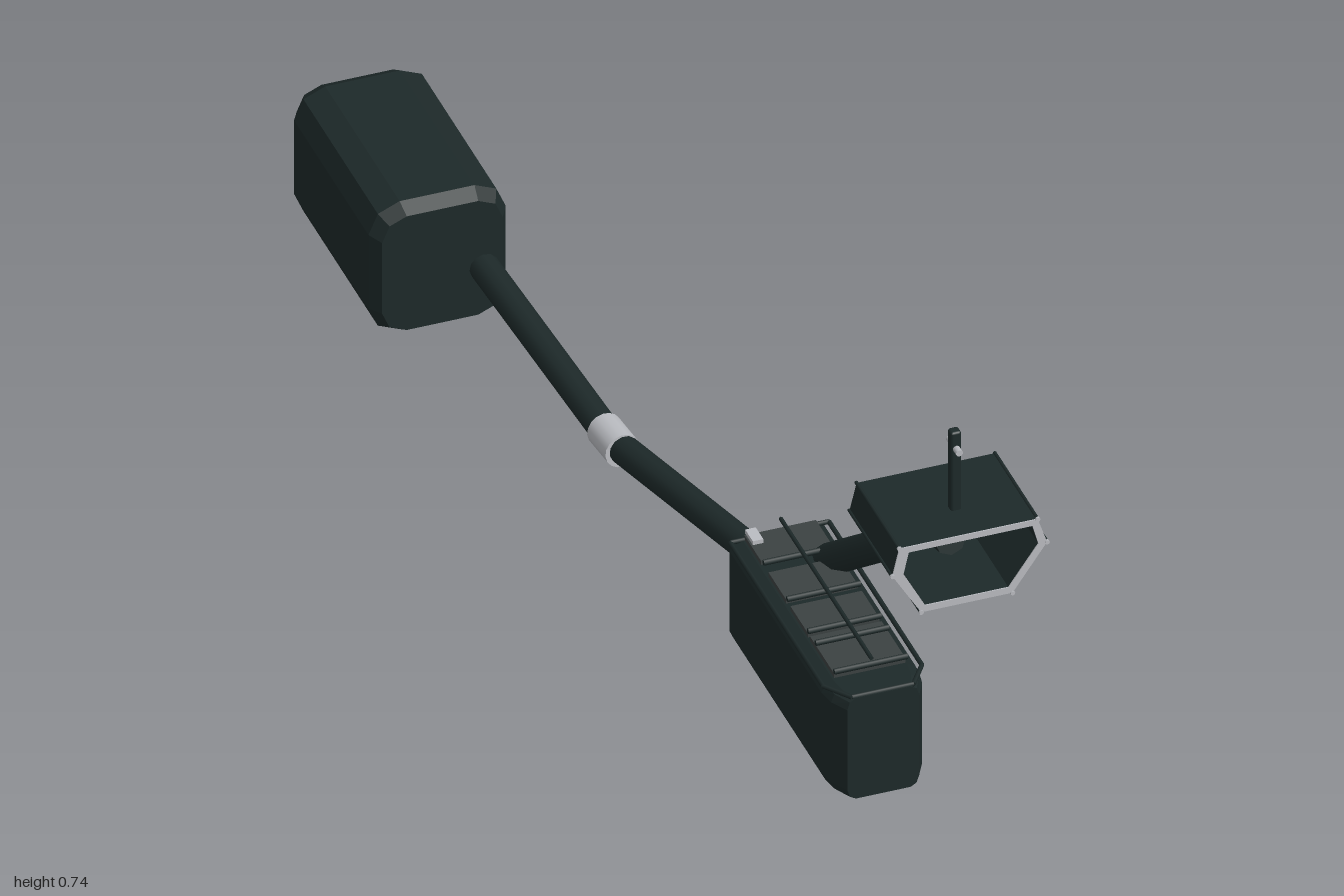
import * as THREE from 'three';
import { RoundedBoxGeometry } from 'three/addons/geometries/RoundedBoxGeometry.js';

const mat = (name, color) => {
  const m = new THREE.MeshStandardMaterial({ color });
  m.name = name;
  return m;
};

// Rectangle, centred on the origin, with each corner cut in two steps
const cutRect = (w, h, c) => {
  const [x, y, k] = [w / 2, h / 2, c * 0.3];
  const corner = [[x, y - c], [x - k, y - k], [x - c, y]];
  const flip = (sx, sy) => corner.map(([a, b]) => new THREE.Vector2(a * sx, b * sy));
  return new THREE.Shape([
    ...flip(1, 1), ...flip(-1, 1).reverse(), ...flip(-1, -1), ...flip(1, -1).reverse(),
  ]);
};

export function createModel() {
  const model = new THREE.Group();
  const shell = mat('dark green grey', 0x1d2929);
  const panel = mat('panel grey', 0x3c4242);
  const under = mat('underside charcoal', 0x2b2a2a);
  const metal = mat('light metal', 0xbabcc1);
  const V = (x, y, z) => new THREE.Vector3(x, y, z);

  const add = (name, geo, material, x = 0, y = 0, z = 0) => {
    const m = new THREE.Mesh(geo, material);
    m.name = name;
    m.position.set(x, y, z);
    model.add(m);
    return m;
  };
  const box = (name, w, h, d, material, x, y, z) =>
    add(name, new THREE.BoxGeometry(w, h, d), material, x, y, z);
  // Straight round bar between two points
  const bar = (name, a, b, r, material, sides = 8) => {
    const dir = b.clone().sub(a);
    const m = add(name, new THREE.CylinderGeometry(r, r, dir.length(), sides), material);
    m.position.copy(a).add(b).multiplyScalar(0.5);
    m.quaternion.setFromUnitVectors(V(0, 1, 0), dir.normalize());
    return m;
  };

  // Rear pod with chamfered edges
  const podGeo = new THREE.ExtrudeGeometry(cutRect(0.206, 0.222, 0.042), {
    depth: 0.34, bevelSize: 0.014, bevelThickness: 0.025, bevelSegments: 1,
  });
  add('rearPod', podGeo, shell, -0.159, 0.126, -0.975);

  // Main body: rounded section along z, narrowing at the front
  const bodyGeo = new THREE.ExtrudeGeometry(cutRect(0.166, 0.196, 0.02), {
    depth: 0.48, steps: 16, bevelEnabled: false,
  });
  const pos = bodyGeo.attributes.position;
  for (let i = 0; i < pos.count; i++) {
    const t = Math.max(0, (pos.getZ(i) - 0.42) / 0.06);
    pos.setX(i, pos.getX(i) * (1 - 0.26 * t * t));
  }
  bodyGeo.computeVertexNormals();
  add('mainBody', bodyGeo, shell, 0.0215, 0.158, 0.44);

  // Tail boom in two runs, joined by a metal collar
  const root = V(0.037, 0.165, 0.46), joint = V(-0.053, 0.083, -0.115), tip = V(-0.09, 0.107, -0.64);
  bar('tailBoomFront', root, joint, 0.025, shell, 12);
  bar('tailBoomRear', joint, tip, 0.025, shell, 12);
  add('boomKnee', new THREE.SphereGeometry(0.025, 12, 8), shell, joint.x, joint.y, joint.z);
  bar('boomCollar', V(-0.05, 0.086, -0.08), V(-0.055, 0.084, -0.15), 0.03, metal, 16);

  // Neck with an elbow running into the head
  const elbow = V(0.143, 0.498, 0.85);
  bar('neck', V(0.066, 0.23, 0.51), elbow, 0.027, shell);
  add('neckElbow', new THREE.SphereGeometry(0.027, 8, 6), shell, elbow.x, elbow.y, elbow.z);
  bar('neckEnd', elbow, V(0.143, 0.512, 0.9), 0.027, shell);

  // Open six-sided head hood with a pale front rim
  const outer = [[0.02, 0.588], [0.256, 0.588], [0.272, 0.54], [0.213, 0.455], [0.057, 0.455], [0.008, 0.537]];
  const inner = [[0.036, 0.577], [0.247, 0.577], [0.257, 0.54], [0.206, 0.467], [0.064, 0.467], [0.027, 0.537]];
  const toPts = (list) => list.map(([x, y]) => new THREE.Vector2(x, y));
  const rim = new THREE.Shape(toPts(outer));
  rim.holes.push(new THREE.Path(toPts(inner).reverse()));
  add('headHood', new THREE.ExtrudeGeometry(rim, { depth: 0.194, bevelEnabled: false }), shell, 0, 0, 0.802);
  add('headRim', new THREE.ExtrudeGeometry(rim, { depth: 0.002, bevelEnabled: false }), metal, 0, 0, 0.996);
  outer.forEach(([x, y]) => {
    bar('hoodEdge', V(x, y, 0.8), V(x, y, 0.996), 0.003, shell, 6);
    bar('hoodPin', V(x, y, 0.996), V(x, y, 1), 0.004, metal, 8);
  });

  // Mast on the head with a small metal crosspin
  add('mast', new RoundedBoxGeometry(0.018, 0.193, 0.018, 1, 0.004), shell, 0.143, 0.643, 0.92);
  bar('mastPin', V(0.143, 0.708, 0.897), V(0.143, 0.708, 0.943), 0.006, metal, 10);

  // Roof panels, cross bars and rails
  [[0.445, 0.52], [0.555, 0.635], [0.655, 0.735], [0.745, 0.855]].forEach(([a, b]) =>
    box('roofPanel', 0.122, 0.009, b - a, panel, 0.023, 0.26, (a + b) / 2));
  [0.537, 0.645, 0.74, 0.775, 0.86].forEach((z) =>
    bar('roofCrossBar', V(-0.04, 0.272, z), V(0.085, 0.272, z), 0.005, shell, 6));
  const rail = [V(-0.062, 0.256, 0.445), V(-0.062, 0.256, 0.87), V(-0.03, 0.256, 0.915),
    V(0.075, 0.256, 0.915), V(0.106, 0.256, 0.87), V(0.106, 0.256, 0.445)];
  rail.forEach((p, i) => bar('roofRail', p, rail[(i + 1) % rail.length], 0.004, shell, 6));
  bar('roofSpine', V(0.022, 0.286, 0.45), V(0.022, 0.286, 0.865), 0.0035, shell, 6);
  box('roofLatch', 0.018, 0.008, 0.035, metal, -0.026, 0.268, 0.458);

  // Skid plate below the body
  box('skidPlate', 0.105, 0.008, 0.21, under, 0.022, 0.05, 0.705);

  return model;
}
